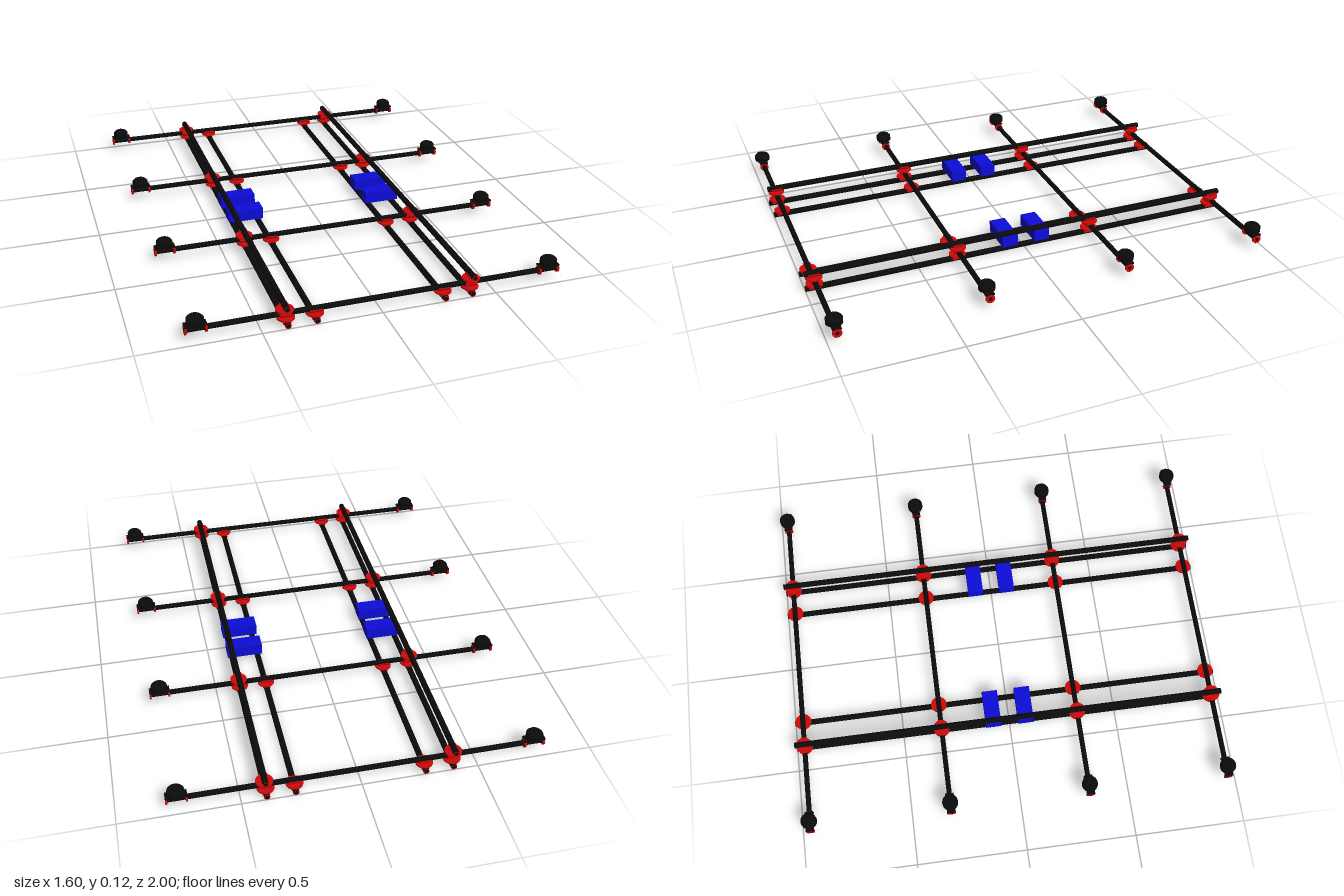
import * as THREE from 'three';

const black = new THREE.MeshStandardMaterial({ color: 0x0b0b0b });
const red = new THREE.MeshStandardMaterial({ color: 0xd00808 });
const blue = new THREE.MeshStandardMaterial({ color: 0x0c0cd8 });

const BAR_Y = 0.054, LOW_Y = 0.017, HIGH_Y = 0.091;
const ROWS = [-0.96, -0.32, 0.32, 0.96];

function add(parent, name, geometry, material, x = 0, y = 0, z = 0) {
  const mesh = new THREE.Mesh(geometry, material);
  mesh.name = name;
  mesh.position.set(x, y, z);
  parent.add(mesh);
  return mesh;
}

// Hollow round section along z, centred; start/length describe a full ring or a half shell
function ringExtrude(outer, inner, length, half = false) {
  const s = new THREE.Shape();
  if (half) {
    s.absarc(0, 0, outer, Math.PI, 2 * Math.PI, false);
    s.absarc(0, 0, inner, 2 * Math.PI, Math.PI, true);
  } else {
    s.absarc(0, 0, outer, 0, 2 * Math.PI, false);
    const hole = new THREE.Path();
    hole.absarc(0, 0, inner, 0, 2 * Math.PI, true);
    s.holes.push(hole);
  }
  const g = new THREE.ExtrudeGeometry(s, { depth: length, bevelEnabled: false, curveSegments: 12 });
  return g.translate(0, 0, -length / 2);
}

const longTube = ringExtrude(0.013, 0.0095, 2);
const crossTube = ringExtrude(0.0115, 0.0085, 1.6).rotateY(Math.PI / 2);
const disc = new THREE.CylinderGeometry(0.037, 0.037, 0.007, 24);
const saddle = ringExtrude(0.0165, 0.0125, 0.05, true);
const collar = ringExtrude(0.02, 0.0115, 0.008).rotateY(Math.PI / 2);

// Disc between two crossing tubes, with a half-shell cradle for each tube
function clamp(x, z, upper) {
  const g = new THREE.Group();
  g.name = 'tubeClamp';
  add(g, 'clampDisc', disc, red);
  const cross = add(g, 'crossCradle', saddle, red, 0, 0.0175, 0);
  cross.rotation.y = Math.PI / 2;
  const along = add(g, 'longCradle', saddle, red, 0, -0.0185, 0);
  along.rotation.z = Math.PI;
  if (upper) g.rotation.x = Math.PI;
  g.position.set(x, upper ? BAR_Y + 0.0185 : BAR_Y - 0.0185, z);
  return g;
}

// Motor on a clamped plate at the end of a cross tube
function motor(x, z) {
  const g = new THREE.Group();
  g.name = 'motorUnit';
  for (const s of [-1, 1]) add(g, 'mountCollar', collar, red, s * 0.041, BAR_Y, 0);
  add(g, 'mountPlate', new THREE.BoxGeometry(0.09, 0.006, 0.038), black, 0, 0.073, 0);
  const profile = [[0, 0.07], [0.026, 0.07], [0.026, 0.078], [0.036, 0.078], [0.036, 0.1],
    [0.028, 0.109], [0.006, 0.109], [0.006, 0.119], [0, 0.119]];
  const body = new THREE.LatheGeometry(profile.map(p => new THREE.Vector2(...p)), 16);
  const flat = black.clone();
  flat.flatShading = true;
  add(g, 'motorBody', body, flat);
  g.position.set(x, 0, z);
  return g;
}

export function createModel() {
  const model = new THREE.Group();
  model.name = 'tubeFrame';

  // Cross tubes with a motor at each end
  for (const z of ROWS) {
    add(model, 'crossTube', crossTube, [red, black], 0, BAR_Y, z);
    for (const s of [-1, 1]) model.add(motor(s * 0.755, z));
  }

  for (const s of [-1, 1]) {
    // Two lower tubes and one upper tube on each side
    add(model, 'outerLowerTube', longTube, [red, black], s * 0.395, LOW_Y, 0);
    add(model, 'innerLowerTube', longTube, [red, black], s * 0.275, LOW_Y, 0);
    add(model, 'outerUpperTube', longTube, [red, black], s * 0.399, HIGH_Y, 0);

    // Clamps at every crossing
    for (const z of ROWS) {
      model.add(clamp(s * 0.395, z, false), clamp(s * 0.275, z, false), clamp(s * 0.399, z, true));
    }

    // Battery blocks resting on the lower tubes
    for (const z of [-0.077, 0.075]) {
      add(model, 'battery', new THREE.BoxGeometry(0.162, 0.052, 0.072), blue, s * 0.335, 0.057, z);
    }
  }
  return model;
}
